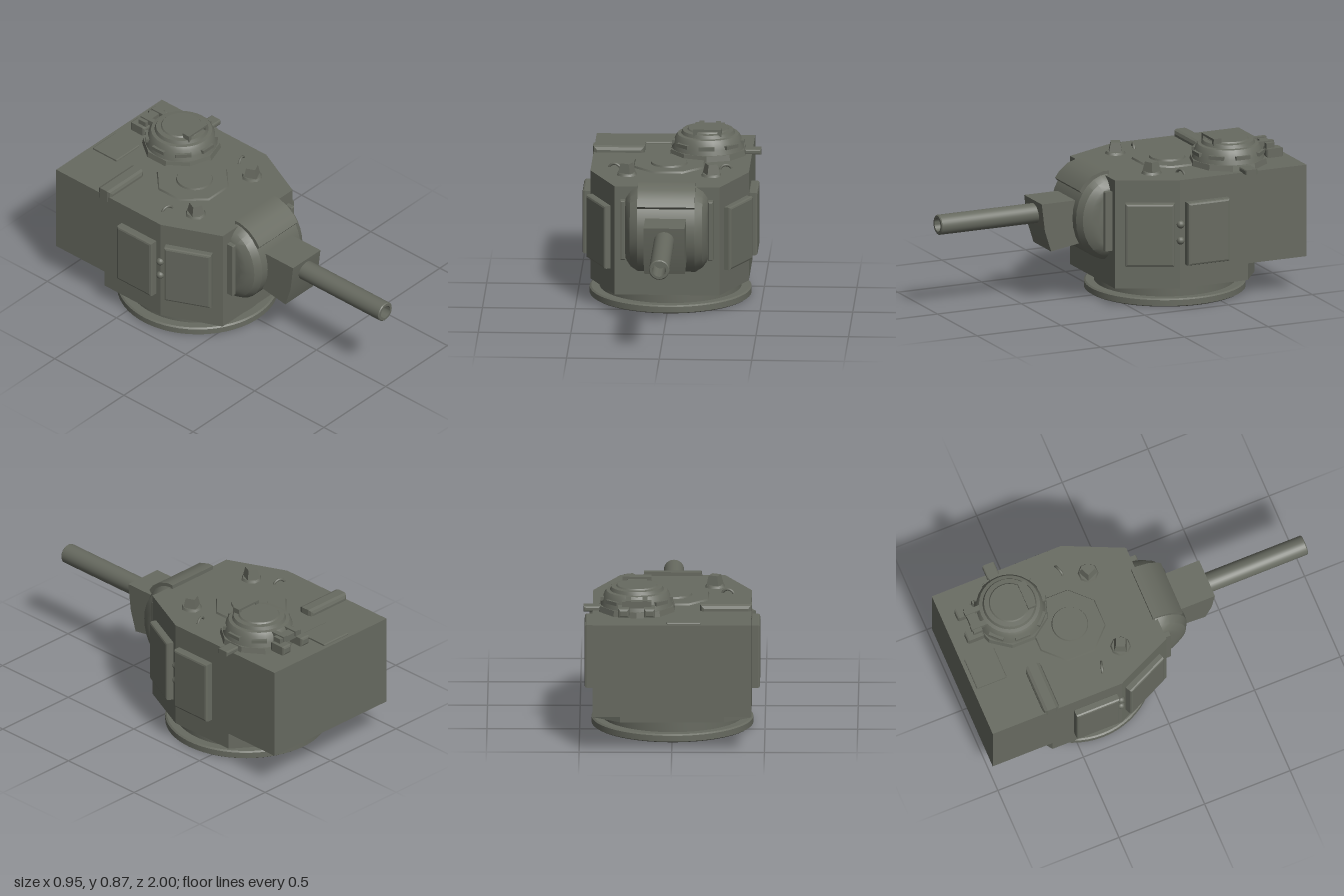
import * as THREE from 'three';
import { toCreasedNormals } from 'three/addons/utils/BufferGeometryUtils.js';
import { ConvexGeometry } from 'three/addons/geometries/ConvexGeometry.js';

const paint = new THREE.MeshStandardMaterial({ color: 0x676a60 });
paint.name = 'olive grey paint';

export function createModel() {
  const model = new THREE.Group();
  model.name = 'turret';

  const add = (name, geometry, x = 0, y = 0, z = 0, ry = 0, parent = model) => {
    const mesh = new THREE.Mesh(geometry, paint);
    mesh.name = name;
    mesh.position.set(x, y, z);
    mesh.rotation.y = ry;
    parent.add(mesh);
    return mesh;
  };
  const box = (w, h, d) => new THREE.BoxGeometry(w, h, d);
  const lathe = (points, segments = 48, crease = 0.5) => toCreasedNormals(
    new THREE.LatheGeometry(points.map(p => new THREE.Vector2(...p)), segments), crease);

  // Mirrors a half outline of [x, z] points and extrudes it upwards
  const slab = (half, y0, y1, hole) => {
    const all = [...half, ...half.slice().reverse().map(([x, z]) => [-x, z])];
    const shape = new THREE.Shape(all.map(([x, z]) => new THREE.Vector2(x, -z)));
    if (hole) shape.holes.push(hole);
    const g = new THREE.ExtrudeGeometry(shape, { depth: y1 - y0, bevelEnabled: false, curveSegments: 24 });
    return g.rotateX(-Math.PI / 2).translate(0, y0, 0);
  };
  // Solid between [x, z, y] points, with soft edges where angles are small
  const hull = (points, crease = 0.45) => toCreasedNormals(
    new ConvexGeometry(points.map(([x, z, y]) => new THREE.Vector3(x, y, z))), crease);
  // Raised plate with bevelled rim, facing +z
  const plate = (w, h, t, b = 0.012) => {
    const s = new THREE.Shape();
    const x = w / 2 - b, y = h / 2 - b;
    s.moveTo(-x, -y).lineTo(x, -y).lineTo(x, y).lineTo(-x, y).closePath();
    return new THREE.ExtrudeGeometry(s, { depth: t - 2 * b, bevelSize: b, bevelThickness: b, bevelSegments: 2 })
      .translate(0, 0, b - t / 2);
  };

  // Turret ring, open in the middle
  const ringZ = -0.357;
  add('turretRing', lathe([[0.36, 0.11], [0.36, 0.03], [0.375, 0], [0.428, 0], [0.437, 0.006], [0.437, 0.038],
    [0.428, 0.045], [0.383, 0.045], [0.383, 0.11]], 64), 0, 0, ringZ);

  // Hollow armoured body
  const nose = [[0.283, 0.075], [0.428, -0.245]];
  const lowerOutline = [...nose, [0.428, -0.65], [0.28, -0.76]];
  const bodyOutline = [...nose, [0.428, -1]];
  const ringHole = () => new THREE.Path().absarc(0, -ringZ, 0.365, 0, Math.PI * 2, true);
  const cavity = new THREE.Path([[0.265, 0.045], [0.4, -0.25], [0.4, -0.97], [-0.4, -0.97], [-0.4, -0.25], [-0.265, 0.045]]
    .map(([x, z]) => new THREE.Vector2(x, -z)));
  add('lowerBody', slab(lowerOutline, 0.104, 0.2, ringHole()));
  add('bodyFloor', slab(bodyOutline, 0.197, 0.22, ringHole()));
  add('bodyWalls', slab(bodyOutline, 0.22, 0.675, cavity));
  add('roof', slab(bodyOutline, 0.675, 0.708));

  // Armour plates, vision ports and roof fittings on both sides
  const slope = Math.atan2(0.906, 0.424);
  for (const s of [1, -1]) {
    const side = s > 0 ? 'left' : 'right';
    add(side + 'FrontPlate', plate(0.265, 0.35, 0.055), s * 0.372, 0.41, -0.092, s * slope);
    add(side + 'RearPlate', plate(0.25, 0.35, 0.055), s * 0.446, 0.41, -0.4, s * Math.PI / 2);
    for (const y of [0.46, 0.37]) {
      add(side + 'Port', new THREE.SphereGeometry(0.022, 14, 10), s * 0.425, y, -0.25);
    }
    add(side + 'MantletRail', plate(0.027, 0.33, 0.06, 0.006), s * 0.237, 0.473, 0.088);

    const scope = new THREE.Group();
    scope.name = side + 'Periscope';
    scope.position.set(s * 0.228, 0.705, -0.17);
    scope.rotation.y = s * 0.42;
    model.add(scope);
    add('periscopeBase', new THREE.CylinderGeometry(0.05, 0.058, 0.016, 8), 0, 0.008, 0, 0, scope);
    const hood = new THREE.CylinderGeometry(0.036, 0.052, 0.062, 4).rotateY(Math.PI / 4);
    add('periscopeHood', toCreasedNormals(hood, 0.3), 0, 0.038, 0, 0, scope);
    add('liftingEye', new THREE.TorusGeometry(0.034, 0.007, 8, 16, Math.PI), s * 0.3, 0.695, -0.31, s * 0.28);
  }

  // Curved mantlet built from shrinking half ellipses
  const shield = [];
  for (const [x, ry, rz] of [[0.155, 0.238, 0.187], [0.195, 0.212, 0.165], [0.217, 0.18, 0.125], [0.224, 0.165, 0.09]]) {
    for (let i = 0; i <= 14; i++) {
      const a = -Math.PI / 2 + Math.PI * i / 14;
      for (const s of [1, -1]) shield.push([s * x, 0.06 + rz * Math.cos(a), 0.475 + ry * Math.sin(a)]);
    }
  }
  add('mantlet', hull(shield));
  const across = (profile, w) => profile.flatMap(([z, y]) => [[w, z, y], [-w, z, y]]);
  add('mantletHood', hull(across([[0.05, 0.73], [0.085, 0.73], [0.15, 0.71], [0.2, 0.67], [0.225, 0.635],
    [0.215, 0.622], [0.05, 0.622]], 0.155)));

  // Gun collar and barrel
  add('gunCollar', hull(across([[0.18, 0.573], [0.43, 0.573], [0.411, 0.42], [0.374, 0.304], [0.18, 0.335]], 0.111), 0.2));
  add('gunBarrel', lathe([[0.055, 0], [0.055, 0.615], [0.05, 0.62], [0.037, 0.62], [0.037, 0.45], [0, 0.45]], 32)
    .rotateX(Math.PI / 2), 0, 0.498, 0.38);

  // Round roof hatch on an eight sided pad
  add('hatchPad', new THREE.CylinderGeometry(0.2, 0.207, 0.012, 8).rotateY(Math.PI / 8), -0.008, 0.712, -0.388);
  add('roofHatch', new THREE.CylinderGeometry(0.095, 0.1, 0.012, 32), -0.008, 0.722, -0.375);

  // Commander's cupola
  const cupola = new THREE.Group();
  cupola.name = 'cupola';
  cupola.position.set(0.19, 0, -0.645);
  model.add(cupola);
  add('cupolaBase', toCreasedNormals(new THREE.CylinderGeometry(0.208, 0.215, 0.034, 10), 0.3), 0, 0.722, 0, 0, cupola);
  add('cupolaDrum', lathe([[0.196, 0.738], [0.188, 0.765], [0.176, 0.8], [0.165, 0.815], [0.146, 0.818],
    [0.138, 0.836], [0.112, 0.838], [0.106, 0.845], [0, 0.845]], 32), 0, 0, 0, 0, cupola);
  for (let i = 0; i < 8; i++) {
    const a = i * Math.PI / 4;
    add('visionBlock', box(0.085, 0.02, 0.03), Math.sin(a) * 0.18, 0.775, Math.cos(a) * 0.18, a, cupola);
  }
  add('sightBar', box(0.155, 0.012, 0.045), 0, 0.86, 0.1, 0, cupola);
  for (const s of [1, -1]) {
    add('sightPost', box(0.022, 0.04, 0.045), s * 0.066, 0.846, 0.1, 0, cupola);
    add('hingeLug', plate(0.06, 0.05, 0.1), s * 0.07, 0.755, -0.235, 0, cupola);
    add('hingeArm', box(0.028, 0.03, 0.12), s * 0.045, 0.8, -0.185, 0, cupola);
  }
  add('hingeBar', box(0.16, 0.035, 0.05), 0, 0.79, -0.215, 0, cupola);
  add('cupolaBracket', plate(0.09, 0.03, 0.07, 0.008), 0.432, 0.717, -0.652);

  // Rear roof fittings
  add('roofTube', plate(0.28, 0.07, 0.092, 0.022), -0.291, 0.708, -0.655);
  add('rearCover', plate(0.185, 0.022, 0.175, 0.006), -0.065, 0.706, -0.892);
  return model;
}
